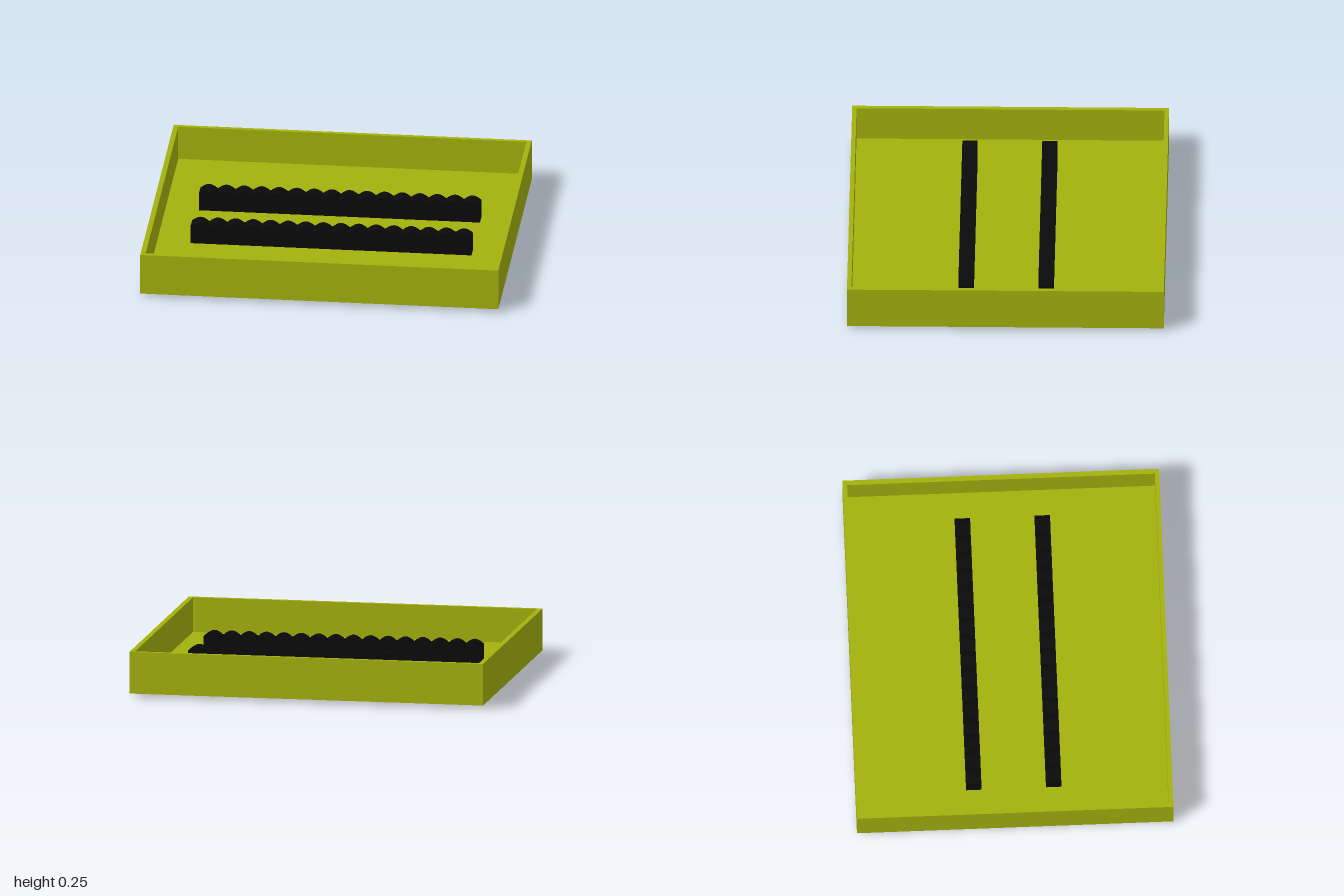
import * as THREE from 'three';

const BASE = 0.02, RIM = 0.255, FLOOR = 0.06;
const HALF_X = 1, HALF_Z = 0.88;

// Square tray: floor and walls swept as one four-sided lathe, then stretched
function makeTray() {
  const inner = 0.972;
  const profile = [[0, BASE], [1, BASE], [1, RIM], [inner, RIM], [inner, FLOOR], [0, FLOOR]]
    .map(([r, y]) => new THREE.Vector2(r * Math.SQRT2, y));
  const geometry = new THREE.LatheGeometry(profile, 4)
    .rotateY(Math.PI / 4)
    .scale(HALF_X, 1, HALF_Z)
    .toNonIndexed();
  geometry.computeVertexNormals();
  const tray = new THREE.Mesh(geometry, new THREE.MeshStandardMaterial({ color: 0xa4b10d, flatShading: true }));
  tray.name = 'tray';
  return tray;
}

// Hollow bar with a scalloped top, open underneath
function makeBar() {
  const length = 1.57, width = 0.085, top = 0.185, bumps = 16, steps = 8;
  const geometry = new THREE.BoxGeometry(length, top, width, bumps * steps, 1, 1).translate(0, top / 2, 0);
  const position = geometry.attributes.position;
  for (let i = 0; i < position.count; i++) {
    if (position.getY(i) < top / 2) continue;
    const phase = (position.getX(i) / length + 0.5) * bumps * Math.PI;
    position.setY(i, top - 0.024 * (1 - Math.abs(Math.sin(phase))));
  }
  // leave out the underside
  const { start, count } = geometry.groups[3];
  const index = Array.from(geometry.index.array);
  index.splice(start, count);
  geometry.setIndex(index);
  geometry.clearGroups();
  geometry.computeVertexNormals();
  return new THREE.Mesh(geometry, new THREE.MeshStandardMaterial({
    color: 0x0a0a0a, flatShading: true, side: THREE.DoubleSide,
  }));
}

export function createModel() {
  const model = new THREE.Group();
  model.name = 'trayWithBars';
  model.add(makeTray());

  // Two matching bars, front and back
  for (const [name, z] of [['frontBar', 0.222], ['backBar', -0.222]]) {
    const bar = makeBar();
    bar.name = name;
    bar.position.z = z;
    model.add(bar);
  }
  return model;
}
